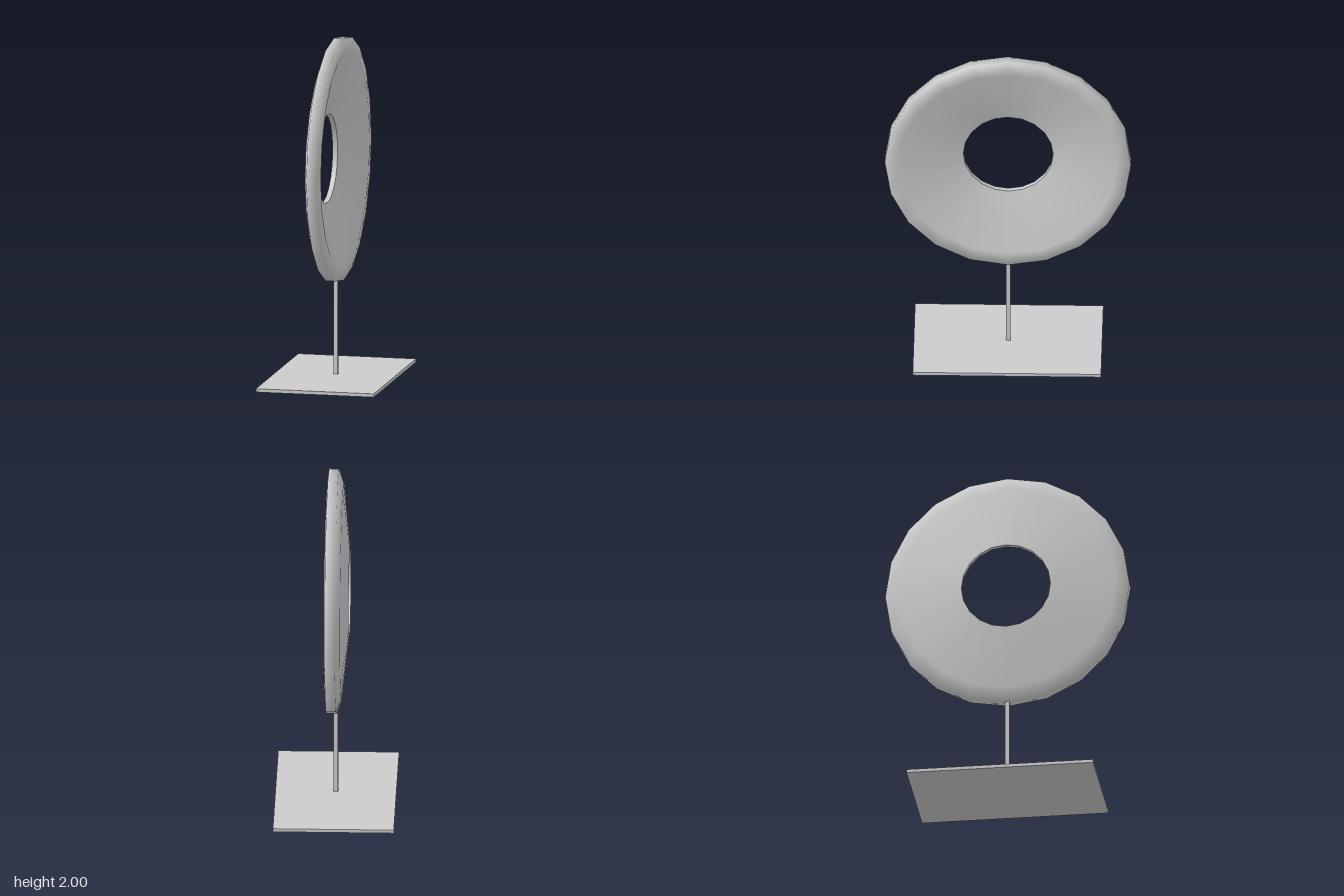
import * as THREE from 'three';

const material = new THREE.MeshStandardMaterial({ color: 0xcccccc });
const SIDES = 20;
const DISC_Y = 1.287;

// Adds a named mesh to a parent
function add(parent, name, geometry, x = 0, y = 0, z = 0) {
  const mesh = new THREE.Mesh(geometry, material);
  mesh.name = name;
  mesh.position.set(x, y, z);
  parent.add(mesh);
  return mesh;
}

// Revolves [radius, x] pairs around the x axis
function revolve(profile) {
  const points = profile.map(([r, x]) => new THREE.Vector2(r, x));
  return new THREE.LatheGeometry(points, SIDES).rotateZ(-Math.PI / 2);
}

export function createModel() {
  const model = new THREE.Group();
  model.name = 'discOnStand';

  // Flat rectangular base and thin square post
  add(model, 'base', new THREE.BoxGeometry(0.7, 0.02, 1.09), 0, 0.01, 0);
  add(model, 'post', new THREE.BoxGeometry(0.026, 0.56, 0.026), 0, 0.3, 0);

  // Dished ring: convex back, rounded rim, hollow front
  const disc = new THREE.Group();
  disc.name = 'disc';
  disc.position.y = DISC_Y;
  model.add(disc);
  add(disc, 'dishedRing', revolve([
    [0.26, -0.08], [0.63, -0.04], [0.713, -0.012],
    [0.713, 0.047], [0.63, 0.055], [0.26, -0.05],
  ]));

  // Wall of the central hole, with sharp edges
  add(disc, 'holeWall', revolve([[0.26, -0.05], [0.26, -0.08]]));

  return model;
}
